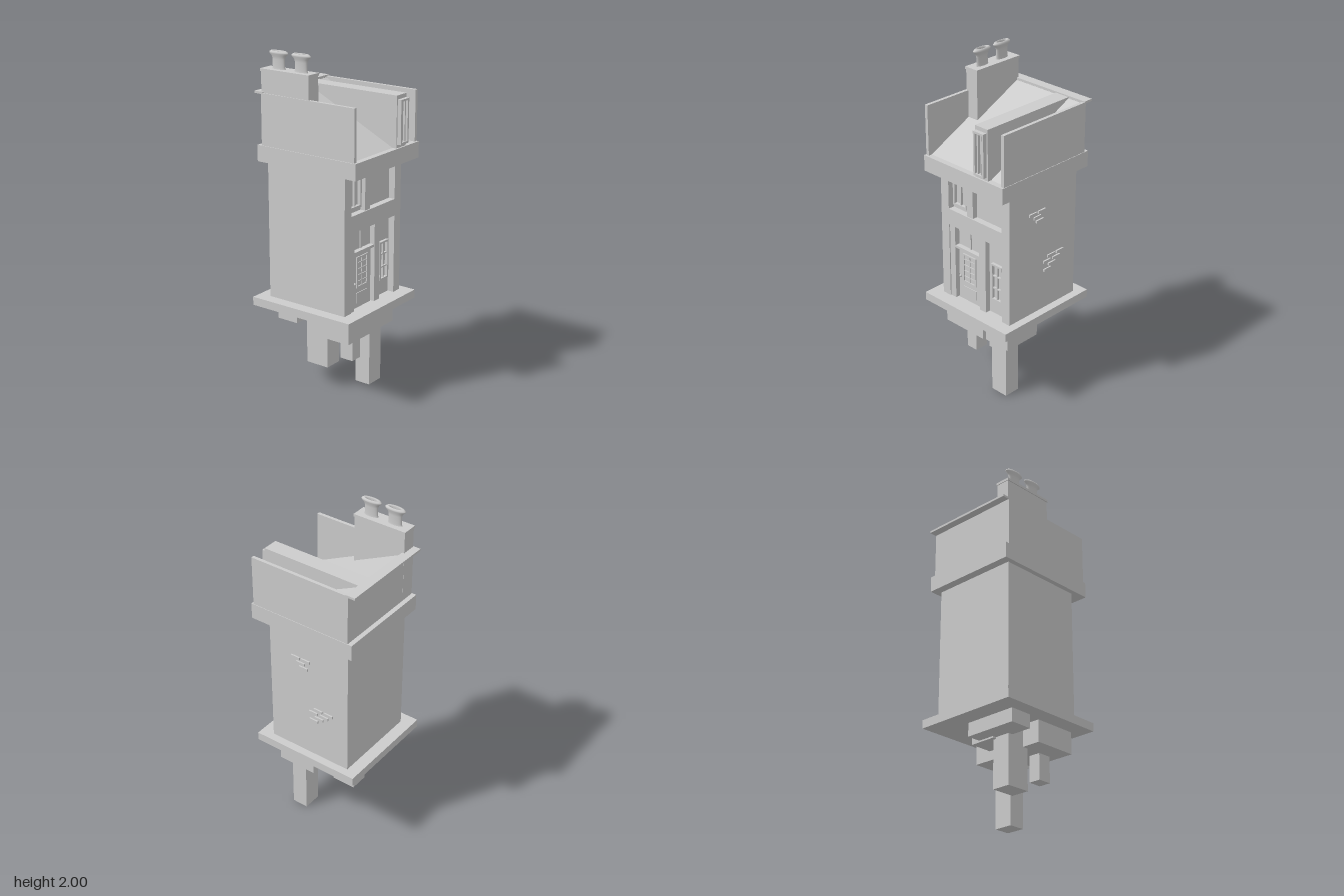
import * as THREE from 'three';

const grey = new THREE.MeshStandardMaterial({ color: 0xcccccc, side: THREE.DoubleSide });

function part(parent, name, geometry) {
  const mesh = new THREE.Mesh(geometry, grey);
  mesh.name = name;
  parent.add(mesh);
  return mesh;
}

// Box given by its limits on each axis
function box(parent, name, x0, x1, y0, y1, z0, z1) {
  const mesh = part(parent, name, new THREE.BoxGeometry(x1 - x0, y1 - y0, z1 - z0));
  mesh.position.set((x0 + x1) / 2, (y0 + y1) / 2, (z0 + z1) / 2);
  return mesh;
}

function section(parent, name) {
  const group = new THREE.Group();
  group.name = name;
  parent.add(group);
  return group;
}

// Frame of four bars with evenly spaced glazing bars
function windowFrame(parent, name, x0, x1, y0, y1, z0, z1, cols, rows, bar) {
  const g = section(parent, name);
  for (const y of [y0, y1 - bar]) box(g, 'rail', x0, x1, y, y + bar, z0, z1);
  for (const x of [x0, x1 - bar]) box(g, 'stile', x, x + bar, y0, y1, z0, z1);
  const t = bar * 0.35, zb = z0 + (z1 - z0) * 0.7;
  for (let i = 1; i < cols; i++) {
    const x = x0 + ((x1 - x0) * i) / cols;
    box(g, 'uprightBar', x - t, x + t, y0, y1, z0, zb);
  }
  for (let i = 1; i < rows; i++) {
    const y = y0 + ((y1 - y0) * i) / rows;
    box(g, 'crossBar', x0, x1, y - t, y + t, z0, zb);
  }
}

function buildSupports(model) {
  const g = section(model, 'supports');
  box(g, 'leftBlock', -0.23, 0.07, 0.38, 0.51, -0.015, 0.255);
  box(g, 'rightBlock', 0.07, 0.245, 0.365, 0.51, -0.015, 0.23);
  box(g, 'backBlock', -0.245, 0.085, 0.43, 0.51, -0.24, -0.1);
  box(g, 'middleBlock', -0.02, 0.14, 0.42, 0.51, -0.155, -0.01);
  box(g, 'longLeg', 0.075, 0.19, 0, 0.37, 0.085, 0.185);
  box(g, 'middleLeg', -0.115, 0, 0.135, 0.51, -0.13, 0.02);
  box(g, 'shortLeg', -0.115, -0.04, 0.225, 0.39, 0.115, 0.2);
  box(g, 'baseSlab', -0.33, 0.328, 0.51, 0.56, -0.357, 0.33);
}

function buildHouse(model) {
  const g = section(model, 'house');
  const wall = 0.21, front = 0.25;
  box(g, 'core', -0.26, 0.28, 0.56, 1.37, -0.285, wall);
  box(g, 'leftPillar', -0.26, -0.2, 0.56, 1.37, wall, front);
  box(g, 'rightPillar', 0.22, 0.28, 0.56, 1.37, wall, front);
  box(g, 'beam', -0.2, 0.22, 1.03, 1.13, wall, front);
  box(g, 'upperPost', -0.06, -0.012, 1.13, 1.37, wall, 0.243);
  box(g, 'doorPostLeft', -0.2, -0.16, 0.56, 1.03, wall, 0.243);
  box(g, 'doorPostRight', 0.035, 0.085, 0.56, 1.03, wall, 0.243);
  windowFrame(g, 'upperWindow', -0.185, -0.075, 1.155, 1.335, wall, 0.23, 2, 1, 0.013);
  windowFrame(g, 'lowerWindow', 0.112, 0.198, 0.655, 0.89, wall, 0.228, 2, 3, 0.011);

  // Door, lintel and fanlight
  box(g, 'doorLintel', -0.16, 0.035, 0.89, 0.905, wall, 0.24);
  box(g, 'fanlightBar', -0.066, -0.058, 0.905, 1.03, wall, 0.218);
  box(g, 'door', -0.15, 0.025, 0.56, 0.885, wall, 0.222);
  windowFrame(g, 'doorWindow', -0.115, -0.01, 0.68, 0.865, 0.222, 0.229, 2, 5, 0.009);
  box(g, 'doorPanel', -0.115, -0.01, 0.59, 0.65, 0.222, 0.226);
  const knob = part(g, 'doorKnob', new THREE.SphereGeometry(0.008, 12, 8));
  knob.position.set(-0.134, 0.71, 0.229);

  // Exposed bricks on the right-hand wall: centre y, centre z
  const bricks = [
    [0.89, -0.083], [0.89, -0.155], [0.862, -0.05], [0.862, -0.125], [0.835, -0.09], [0.808, -0.053],
    [1.2, 0.07], [1.2, 0.0], [1.172, 0.035], [1.145, 0.015],
  ];
  for (const [y, z] of bricks) box(g, 'brick', 0.278, 0.289, y - 0.008, y + 0.008, z - 0.029, z + 0.029);
}

function buildRoof(model) {
  const g = section(model, 'roof');
  box(g, 'cornice', -0.29, 0.318, 1.37, 1.465, -0.335, 0.343);
  box(g, 'leftParapet', -0.285, -0.265, 1.465, 1.763, -0.305, 0.33);
  box(g, 'rightParapet', 0.295, 0.315, 1.465, 1.763, -0.305, 0.33);
  box(g, 'backWall', -0.285, 0.315, 1.465, 1.758, -0.307, -0.293);
  box(g, 'backCoping', -0.285, 0.318, 1.757, 1.77, -0.353, -0.294);

  // Wedge rising towards the back, extruded across the width
  const wedge = new THREE.Shape();
  wedge.moveTo(-0.312, 1.463);
  wedge.lineTo(0.296, 1.463);
  wedge.lineTo(0.296, 1.757);
  wedge.closePath();
  const slope = new THREE.ExtrudeGeometry(wedge, { depth: 0.56, bevelEnabled: false });
  slope.rotateY(Math.PI / 2);
  part(g, 'roofSlope', slope).position.x = -0.265;

  // Dormer with a tall narrow window
  box(g, 'dormer', 0.106, 0.2, 1.465, 1.763, -0.295, 0.333);
  windowFrame(g, 'dormerWindow', 0.114, 0.191, 1.485, 1.74, 0.333, 0.357, 3, 1, 0.012);
}

function buildChimney(model) {
  const g = section(model, 'chimney');
  box(g, 'stack', -0.279, -0.194, 1.47, 1.89, -0.308, 0.022);
  box(g, 'stackCap', -0.284, -0.19, 1.885, 1.9, -0.312, 0.025);

  // Flared hollow pots, flattened across the house
  const profile = [
    [0.046, 1.9], [0.042, 1.91], [0.042, 1.955], [0.049, 1.972], [0.064, 1.985],
    [0.064, 1.992], [0.052, 2], [0.038, 2], [0.036, 1.99], [0.036, 1.91], [0, 1.91],
  ].map(([r, y]) => new THREE.Vector2(r, y));
  for (const z of [-0.06, -0.215]) {
    const pot = part(g, 'chimneyPot', new THREE.LatheGeometry(profile, 32));
    pot.scale.x = 0.36;
    pot.position.set(-0.237, 0, z);
  }
}

export function createModel() {
  const model = new THREE.Group();
  model.name = 'narrowHouse';
  buildSupports(model);
  buildHouse(model);
  buildRoof(model);
  buildChimney(model);
  return model;
}
